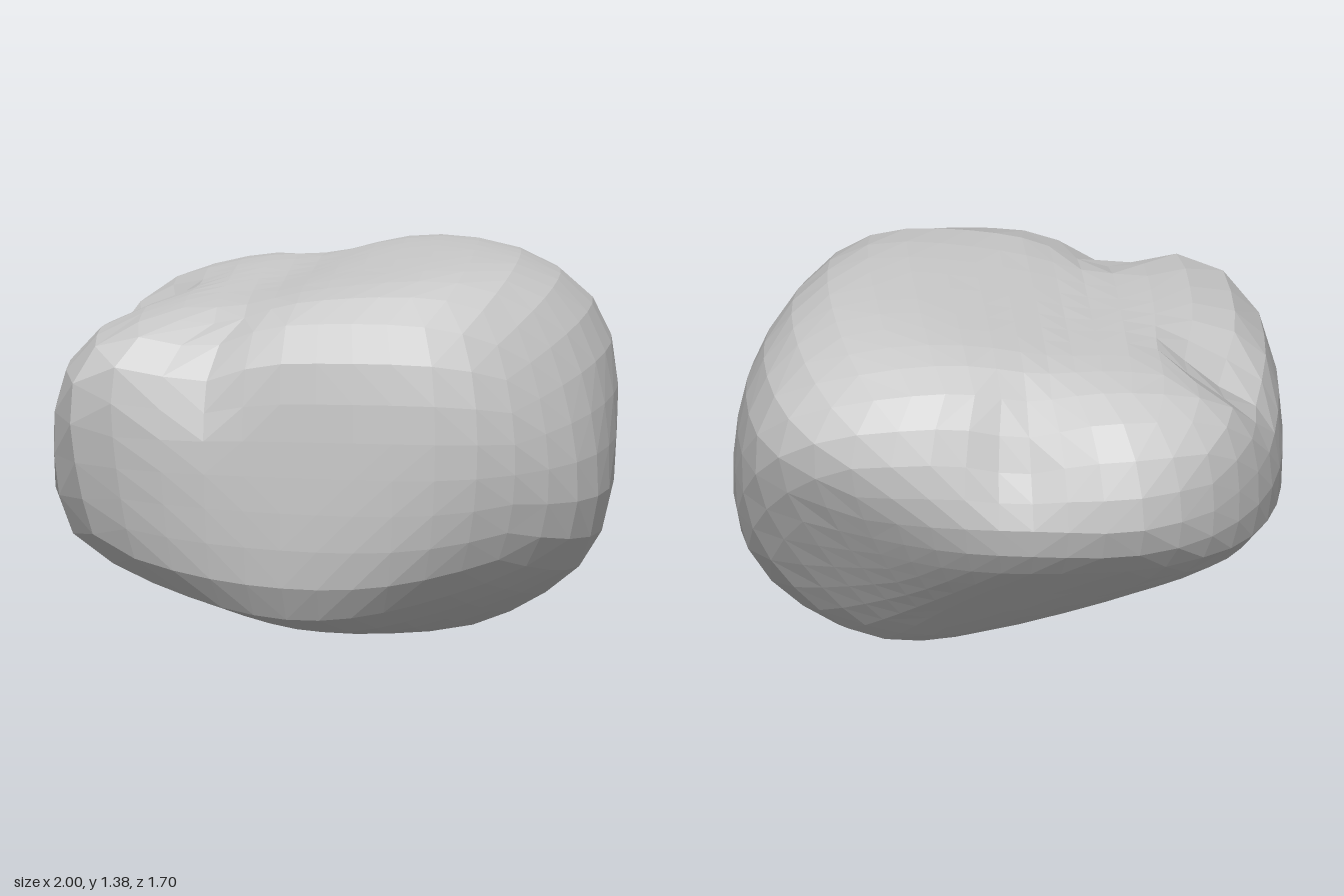
import * as THREE from 'three';

// Rounded facets of the boulder: outward direction and reach from its core
const facets = [
  [1, 0, 0, 1], [-1, 0, 0, 1], [-1, 0, -0.3, 0.96],                      // right and left flanks
  [-0.09, 0, 1, 0.845], [0.1, 0, 1, 0.885],                              // front
  [-0.08, 0.15, -1, 0.82], [0.08, 0.15, -1, 0.8],                        // back
  [0, 1, 0, 0.68], [-0.17, 1, 0, 0.615], [0.3, 0.95, 0, 0.815],          // tilted top
  [0, -1, 0, 0.705], [-0.27, -0.96, 0, 0.63], [-0.6, -0.8, 0, 0.81],     // underside
  [0, -0.96, 0.2, 0.74], [-0.35, -0.87, -0.35, 0.61], [0.35, -0.87, 0.35, 0.815],
  [0, -0.7, -0.7, 0.57], [0.47, -0.48, -0.74, 0.68],                     // slope under the back
  [0.7, -0.7, 0, 0.94], [-0.7, 0.7, 0, 0.89], [0.7, 0.7, 0, 0.965],      // long edges
  [0, 0.7, 0.7, 0.935], [0, -0.7, 0.7, 0.91], [0, 0.7, -0.7, 0.835],
  [0.7, 0, 0.7, 1], [-0.68, 0.15, 0.7, 1.18], [0.7, 0.2, -0.7, 1], [-0.7, 0, -0.7, 0.94],
  [-0.53, -0.32, 0.79, 1], [0.5, -0.35, 0.78, 0.95], [0.78, 0.35, 0.5, 0.995], // corners
  [-0.35, 0.87, -0.35, 0.79], [0.35, 0.87, 0.35, 0.91], [0.35, 0.87, -0.35, 0.88],
].map(([x, y, z, reach]) => ({ n: new THREE.Vector3(x, y, z).normalize(), reach, h: reach }));

const core = new THREE.Vector3(0, 0.7, 0);
const notchAt = new THREE.Vector3(-0.76, 1.08, -0.14);
const swellAt = new THREE.Vector3(-0.32, 0.9, -0.8);
const bell = (d, width) => Math.exp(-((d / width) ** 2));

// Smooth intersection of all the facets along one direction
function radius(dir) {
  let sum = 0;
  for (const { n, h } of facets) sum += Math.max(0, n.dot(dir) / h) ** 11;
  return sum ** (-1 / 11);
}

// Rounding pulls the surface inward, so move each facet until it has its reach
function settleFacets(dirs) {
  for (let pass = 0; pass < 20; pass++) {
    const points = dirs.map((d) => d.clone().multiplyScalar(radius(d)));
    for (const f of facets) {
      const reached = points.reduce((m, p) => Math.max(m, p.dot(f.n)), 0);
      f.h = Math.min(f.h * f.reach / reached, f.reach * 1.3);
    }
  }
}

function carve(p) {
  // shallow groove dividing the two lobes, deeper at its front and back ends
  const upper = THREE.MathUtils.smoothstep(p.y, 0.75, 1.15);
  const groove = bell(p.x + 0.2 + 0.32 * p.z, 0.18) * upper;
  const end = THREE.MathUtils.smoothstep(Math.abs(p.z), 0.35, 0.75);
  p.y -= groove * (0.025 + 0.06 * end);
  p.z -= Math.sign(p.z) * groove * 0.06 * end;
  // notch in the upper left shoulder
  const notch = bell(p.distanceTo(notchAt), 0.2);
  p.x += 0.1 * notch;
  p.y -= 0.1 * notch;
  // small swelling at the back of the left lobe
  p.z -= 0.07 * bell(p.distanceTo(swellAt), 0.26);
}

// Split each four-sided patch along its outer diagonal to keep corners clean
function splitOutward(geometry, points) {
  const index = geometry.index;
  const reach = (i, j) => points[i].clone().add(points[j]).multiplyScalar(0.5).distanceTo(core);
  for (let i = 0; i < index.count; i += 6) {
    const a = index.getX(i), b = index.getX(i + 1), c = index.getX(i + 4), d = index.getX(i + 2);
    if (reach(a, c) > reach(b, d)) index.array.set([a, b, c, a, c, d], i);
  }
}

export function createModel() {
  const geometry = new THREE.BoxGeometry(2, 2, 2, 10, 10, 10);
  const pos = geometry.attributes.position;
  // directions on a rounded cube, with its grid evened out
  const dirs = Array.from({ length: pos.count }, (_, i) => {
    const d = new THREE.Vector3().fromBufferAttribute(pos, i);
    return d.set(...d.toArray().map((v) => Math.tan(v * Math.PI / 4))).normalize();
  });
  settleFacets(dirs);
  const points = dirs.map((d) => {
    const p = d.clone().multiplyScalar(radius(d)).add(core);
    carve(p);
    return p;
  });
  pos.copyArray(points.flatMap((p) => p.toArray()));
  splitOutward(geometry, points);
  geometry.computeVertexNormals();

  const boulder = new THREE.Mesh(
    geometry,
    new THREE.MeshStandardMaterial({ color: 0xcccccc, flatShading: true }),
  );
  boulder.name = 'boulder';
  const group = new THREE.Group();
  group.name = 'rock';
  group.add(boulder);
  return group;
}
